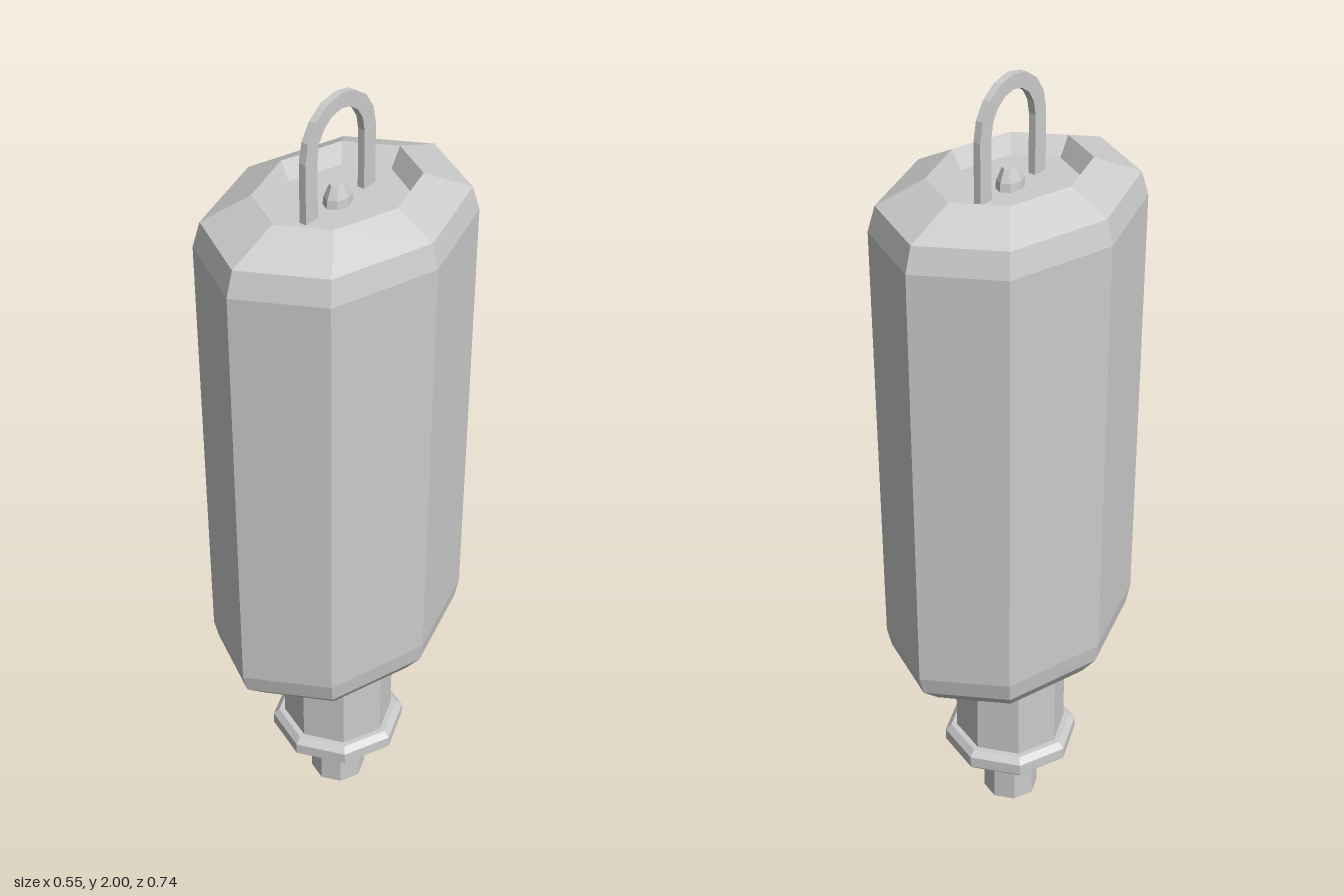
import * as THREE from 'three';

const material = new THREE.MeshStandardMaterial({ color: 0xcccccc, flatShading: true });

// Eight-sided loft through rings [y, x radius, z radius], listed from the underside round to the top
function loft(name, rings) {
  const n = rings.length;
  const geo = new THREE.LatheGeometry(rings.map(([y, rx]) => new THREE.Vector2(rx, y)), 8);
  const pos = geo.attributes.position;
  for (let i = 0; i < pos.count; i++) {
    const [, rx, rz = rx] = rings[i % n];
    if (rx > 0) pos.setZ(i, pos.getZ(i) * rz / rx);
  }
  const flat = geo.toNonIndexed();
  flat.computeVertexNormals();
  const mesh = new THREE.Mesh(flat, material);
  mesh.name = name;
  return mesh;
}

// Flat U-shaped hanger standing in the recess, in the YZ plane
function hangingLoop() {
  const outer = 0.12, inner = 0.08, foot = 1.73, spring = 1.88, thick = 0.018;
  const steps = 8;
  const shape = new THREE.Shape();
  shape.moveTo(outer, foot);
  for (let i = 0; i <= steps; i++) {
    const a = Math.PI * i / steps;
    shape.lineTo(outer * Math.cos(a), spring + 0.12 * Math.sin(a));
  }
  shape.lineTo(-outer, foot);
  shape.lineTo(-inner, foot);
  for (let i = steps; i >= 0; i--) {
    const a = Math.PI * i / steps;
    shape.lineTo(inner * Math.cos(a), spring + 0.085 * Math.sin(a));
  }
  shape.lineTo(inner, foot);
  const geo = new THREE.ExtrudeGeometry(shape, { depth: thick, bevelEnabled: false });
  geo.translate(0, 0, -thick / 2);
  geo.rotateY(Math.PI / 2);
  const mesh = new THREE.Mesh(geo, material);
  mesh.name = 'hangingLoop';
  return mesh;
}

export function createModel() {
  const model = new THREE.Group();
  model.name = 'hangingCanister';

  // Oval body with rounded shoulders and a recessed top
  model.add(loft('body', [
    [0.42, 0, 0],
    [0.42, 0.14, 0.14],
    [0.48, 0.222, 0.295],
    [0.53, 0.26, 0.35],
    [0.58, 0.268, 0.364],
    [1.67, 0.275, 0.37],
    [1.73, 0.26, 0.35],
    [1.78, 0.163, 0.22],
    [1.735, 0.14, 0.19],
    [1.735, 0, 0],
  ]));

  // Neck below the body
  model.add(loft('neck', [[0.19, 0.14], [0.43, 0.14]]));

  // Bevelled collar
  model.add(loft('collar', [
    [0.16, 0], [0.16, 0.16], [0.17, 0.17], [0.2, 0.17], [0.215, 0.155], [0.215, 0.13],
  ]));

  // Hollow outlet
  model.add(loft('outlet', [
    [0.06, 0], [0.06, 0.05], [0, 0.05], [0, 0.07], [0.17, 0.07],
  ]));

  // Small knob in the recess
  model.add(loft('knob', [
    [1.73, 0.03, 0.04], [1.755, 0.028, 0.037], [1.785, 0.016, 0.023], [1.785, 0, 0],
  ]));

  model.add(hangingLoop());
  return model;
}
